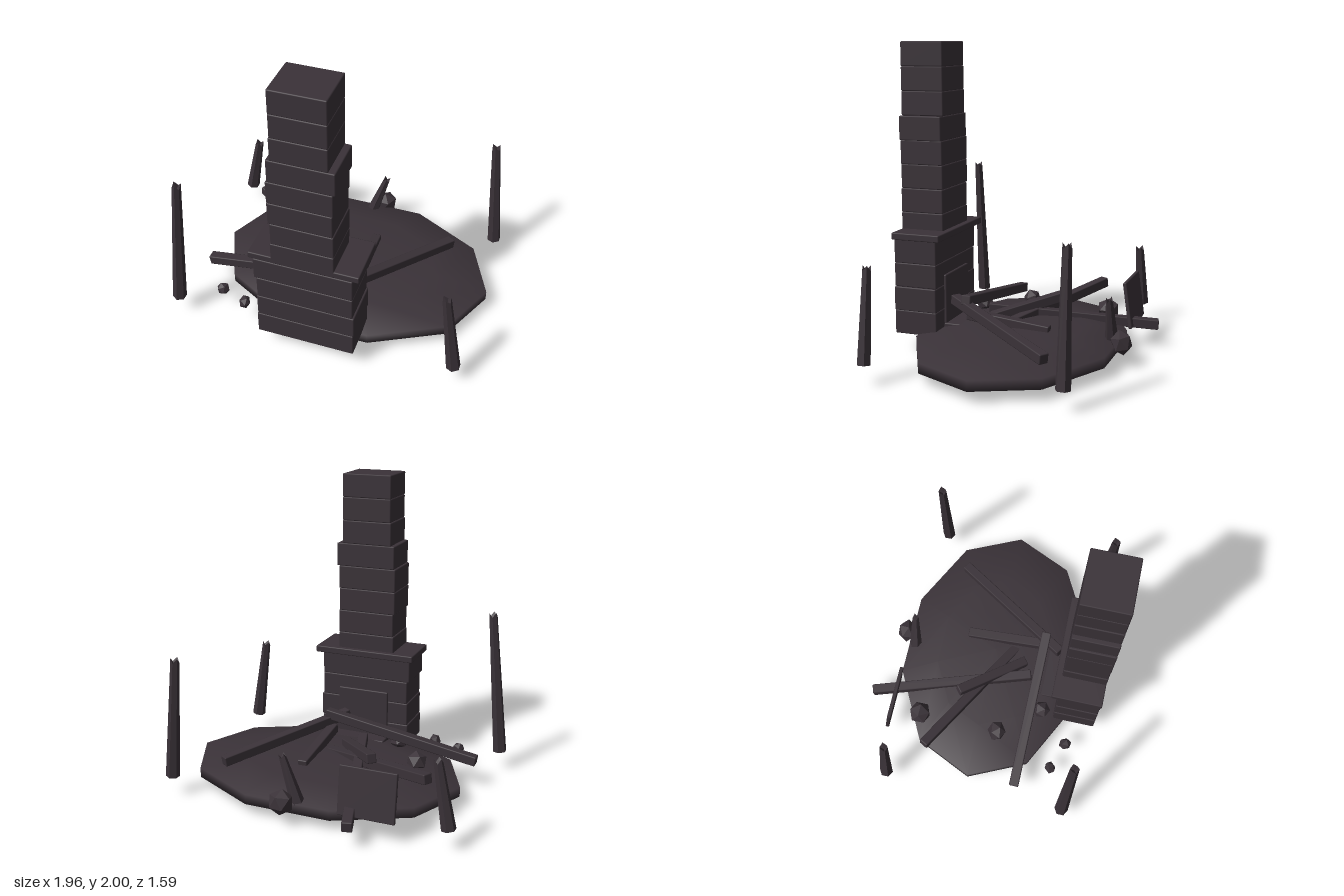
import * as THREE from 'three';
import { RoundedBoxGeometry } from 'three/addons/geometries/RoundedBoxGeometry.js';

export function createModel() {
  const model = new THREE.Group();
  model.name = 'burntRuin';

  const charred = new THREE.MeshStandardMaterial({ color: 0x3a3238 });
  charred.name = 'charred';
  const charredFlat = charred.clone();
  charredFlat.name = 'charred';
  charredFlat.flatShading = true;

  function add(name, geometry, material = charred, parent = model) {
    const mesh = new THREE.Mesh(geometry, material);
    mesh.name = name;
    parent.add(mesh);
    return mesh;
  }

  // Box given by its limits, with slightly softened edges
  function block(name, x0, x1, y0, y1, z0, z1, parent = model) {
    const g = new RoundedBoxGeometry(x1 - x0, y1 - y0, z1 - z0, 1, 0.007);
    const mesh = add(name, g, charred, parent);
    mesh.position.set((x0 + x1) / 2, (y0 + y1) / 2, (z0 + z1) / 2);
    return mesh;
  }

  // Ash mound: a flattened ten-sided ellipsoid
  const mound = add('ashMound', new THREE.SphereGeometry(1, 10, 5));
  mound.scale.set(0.964, 0.105, 0.689);
  mound.position.set(0.067, 0.105, 0);

  // Chimney: stacked courses, each a little out of line
  const chimney = new THREE.Group();
  chimney.name = 'chimney';
  model.add(chimney);
  const courses = [
    [-0.325, 0.31], [-0.32, 0.315], [-0.315, 0.305], [-0.33, 0.305],
    [-0.21, 0.19], [-0.205, 0.19], [-0.215, 0.185], [-0.215, 0.19],
    [-0.205, 0.205], [-0.18, 0.165], [-0.175, 0.165], [-0.175, 0.165],
  ];
  const step = (2 - 0.13) / courses.length;
  courses.forEach(([x0, x1], i) => {
    const y = 0.13 + i * step;
    block('chimneyCourse', x0, x1, y, y + step, 0.5, 0.79, chimney);
  });
  block('mantelSlab', -0.36, 0.345, 0.755, 0.8, 0.46, 0.79, chimney);
  block('fireboxPlate', -0.18, 0.18, 0.13, 0.51, 0.485, 0.51, chimney);
  block('hearth', -0.19, 0.19, 0.1, 0.19, 0.38, 0.5, chimney);

  // Fallen beams between two points
  const UP = new THREE.Vector3(0, 1, 0);
  const beams = [
    [[-0.865, 0.185, 0.33], [0.21, 0.362, 0.338]],
    [[-0.74, 0.315, -0.33], [0.2, 0.155, 0.19]],
    [[0.655, 0.195, -0.345], [0.1, 0.335, 0.46]],
    [[-0.4, 0.145, -0.79], [-0.08, 0.245, 0.29]],
    [[-0.32, 0.315, -0.18], [0.02, 0.21, 0.23]],
    [[0.15, 0.2, -0.21], [0.16, 0.26, 0.34]],
  ];
  for (const [from, to] of beams) {
    const a = new THREE.Vector3(...from), b = new THREE.Vector3(...to);
    const beam = add('fallenBeam', new RoundedBoxGeometry(0.065, 0.065, a.distanceTo(b), 1, 0.007));
    beam.position.copy(a).lerp(b, 0.5);
    beam.lookAt(b);
  }

  // Leaning posts with a splintered tip
  function post(name, from, to, rTop, rBase) {
    const a = new THREE.Vector3(...from), b = new THREE.Vector3(...to);
    const h = a.distanceTo(b);
    const g = new THREE.CylinderGeometry(rTop, rBase, h, 6);
    const p = g.attributes.position;
    for (let i = 0; i < p.count; i++) {
      if (p.getY(i) < h / 2 - 1e-4) continue;
      const x = p.getX(i), z = p.getZ(i);
      const sector = Math.round(Math.atan2(x, z) / (Math.PI / 3));
      const centre = Math.hypot(x, z) < 1e-4;
      p.setY(i, h / 2 - (centre ? 0.05 : Math.abs(sector) % 2 ? 0.03 : 0));
    }
    const mesh = add(name, g, charredFlat);
    mesh.position.copy(a).lerp(b, 0.5);
    mesh.quaternion.setFromUnitVectors(UP, b.sub(a).normalize());
  }
  post('cornerPost', [-0.94, 0.13, 0.68], [-0.848, 1.11, 0.68], 0.028, 0.046);
  post('cornerPost', [-0.94, 0.13, -0.555], [-0.86, 0.56, -0.55], 0.028, 0.046);
  post('cornerPost', [0.92, 0.13, -0.545], [0.86, 0.94, -0.545], 0.028, 0.046);
  post('cornerPost', [0.925, 0.13, 0.68], [0.848, 0.71, 0.685], 0.028, 0.046);
  post('brokenStump', [0.01, 0.13, -0.58], [0.11, 0.44, -0.585], 0.022, 0.045);

  // Tilted wall panel at the back
  const panel = add('wallPanel', new RoundedBoxGeometry(0.365, 0.31, 0.025, 1, 0.006));
  panel.position.set(-0.455, 0.285, -0.607);
  panel.rotation.x = 0.14;

  // Rubble: position, radius
  const stones = [
    [-0.5, 0.19, -0.42, 0.08], [-0.515, 0.2, 0.135, 0.073],
    [-0.68, 0.155, 0.55, 0.045], [-0.495, 0.16, 0.62, 0.045],
    [0.085, 0.155, -0.66, 0.083], [-0.3, 0.205, 0.41, 0.063],
    [-0.24, 0.13, 0.6, 0.065],
  ];
  stones.forEach(([x, y, z, r], i) => {
    const stone = add('rubbleStone', new THREE.IcosahedronGeometry(r, 0), charredFlat);
    stone.position.set(x, y, z);
    stone.rotation.set(i * 1.3, i * 2.1, i * 0.7);
    stone.scale.y = 0.85;
  });

  return model;
}
